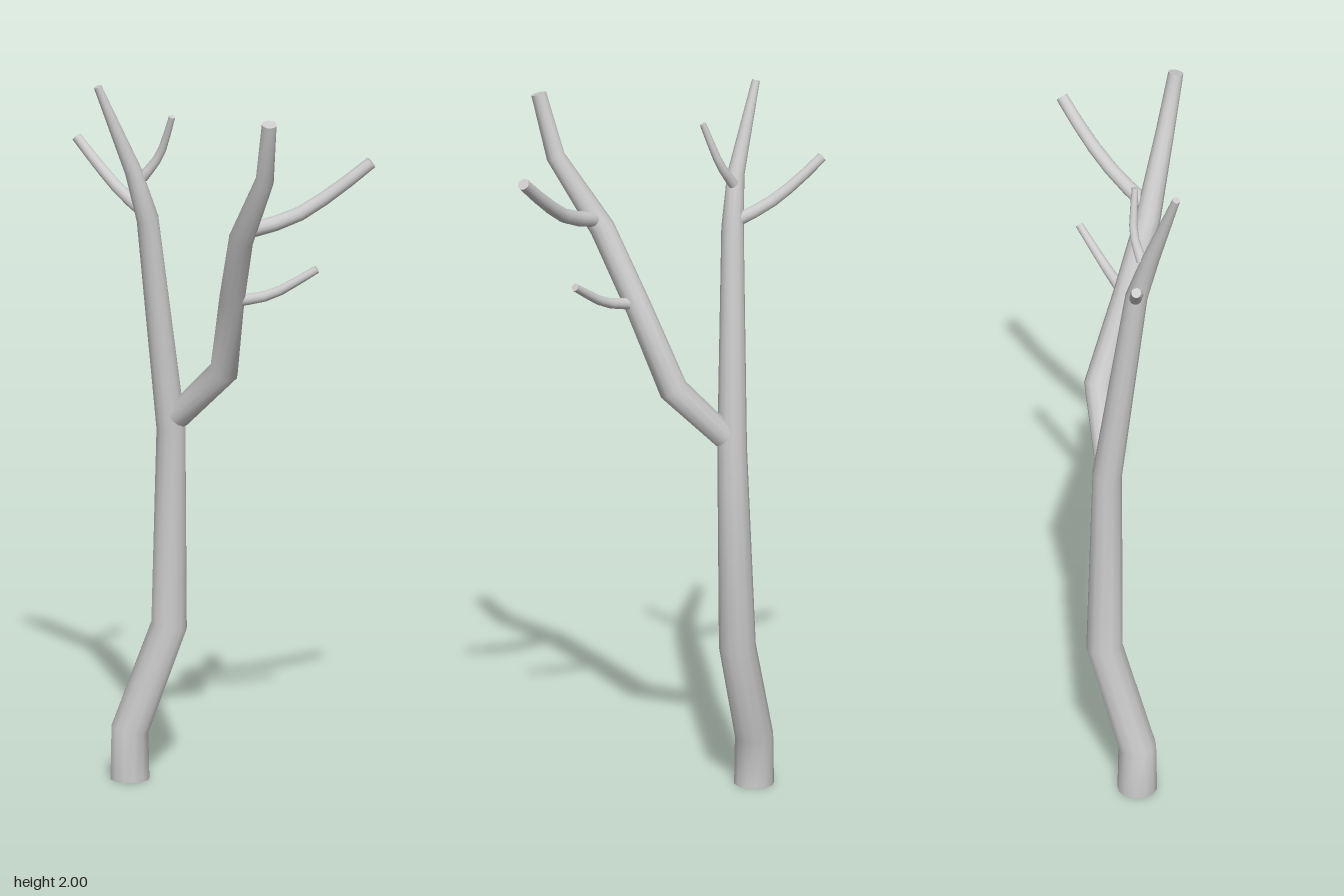
import * as THREE from 'three';

const SIDES = 12;
const UP = new THREE.Vector3(0, 1, 0);
const material = new THREE.MeshStandardMaterial({ color: 0xcccccc });

// Tapered limb through [x, y, z, radius] points, with flat caps on both ends
function limb(name, rows) {
  const pts = rows.map(([x, y, z]) => new THREE.Vector3(x, y, z));
  const pos = [], index = [];
  const dir = (a, b) => pts[b].clone().sub(pts[a]).normalize();
  const last = pts.length - 1;

  // One ring square to the path, shared by both neighbouring segments
  const addRing = (i) => {
    const t = new THREE.Vector3();
    if (i > 0) t.add(dir(i - 1, i));
    if (i < last) t.add(dir(i, i + 1));
    const turn = new THREE.Quaternion().setFromUnitVectors(UP, t.normalize());
    for (let s = 0; s < SIDES; s++) {
      const a = (s / SIDES) * Math.PI * 2;
      const v = new THREE.Vector3(Math.cos(a), 0, -Math.sin(a)).multiplyScalar(rows[i][3]);
      pos.push(...v.applyQuaternion(turn).add(pts[i]).toArray());
    }
  };

  // Bark
  for (let i = 0; i <= last; i++) addRing(i);
  for (let i = 0; i < last; i++) {
    for (let s = 0; s < SIDES; s++) {
      const a = i * SIDES + s, b = i * SIDES + (s + 1) % SIDES;
      index.push(a, b, b + SIDES, a, b + SIDES, a + SIDES);
    }
  }

  // Cut ends, on their own vertices so the rim stays sharp
  for (const end of [0, last]) {
    const start = pos.length / 3;
    addRing(end);
    for (let s = 1; s < SIDES - 1; s++) {
      if (end === 0) index.push(start, start + s + 1, start + s);
      else index.push(start, start + s, start + s + 1);
    }
  }

  const geometry = new THREE.BufferGeometry();
  geometry.setAttribute('position', new THREE.Float32BufferAttribute(pos, 3));
  geometry.setIndex(index);
  geometry.computeVertexNormals();
  const mesh = new THREE.Mesh(geometry, material);
  mesh.name = name;
  return mesh;
}

// Gently curved twig through a few points, thinning from r0 to r1
function twig(name, points, r0, r1) {
  const curve = new THREE.CatmullRomCurve3(points.map((p) => new THREE.Vector3(...p)));
  const n = 5;
  const rows = curve.getPoints(n).map((p, i) => [p.x, p.y, p.z, r0 + (r1 - r0) * i / n]);
  return limb(name, rows);
}

export function createModel() {
  const tree = new THREE.Group();
  tree.name = 'bareTree';

  // Main stem, kinked near the ground and tapering to a point
  tree.add(limb('trunk', [
    [-0.235, 0, 0.095, 0.055],
    [-0.235, 0.14, 0.095, 0.053],
    [-0.182, 0.43, -0.003, 0.051],
    [-0.168, 1.0, 0.003, 0.041],
    [-0.175, 1.61, 0.085, 0.031],
    [-0.187, 1.75, 0.127, 0.024],
    [-0.248, 1.995, 0.205, 0.011],
  ]));

  // Heavy side branch
  tree.add(limb('mainBranch', [
    [-0.145, 1.035, 0.0, 0.036],
    [-0.003, 1.185, -0.042, 0.041],
    [0.095, 1.42, 0.02, 0.036],
    [0.185, 1.62, 0.07, 0.035],
    [0.312, 1.82, 0.1, 0.026],
    [0.357, 1.995, 0.125, 0.021],
  ]));

  // Twigs on the trunk
  tree.add(twig('trunkTwigLong',
    [[-0.18, 1.625, 0.088], [-0.27, 1.67, 0.095], [-0.345, 1.725, 0.103], [-0.425, 1.798, 0.117]], 0.019, 0.014));
  tree.add(twig('trunkTwigShort',
    [[-0.178, 1.73, 0.1], [-0.14, 1.795, 0.073], [-0.092, 1.915, 0.07]], 0.015, 0.009));

  // Twigs on the side branch
  tree.add(twig('branchTwigLower',
    [[0.105, 1.418, 0.014], [0.185, 1.442, -0.045], [0.275, 1.515, -0.132]], 0.017, 0.011));
  tree.add(twig('branchTwigUpper',
    [[0.21, 1.65, 0.06], [0.285, 1.685, -0.03], [0.35, 1.75, -0.115], [0.422, 1.838, -0.2]], 0.022, 0.017));

  return tree;
}
